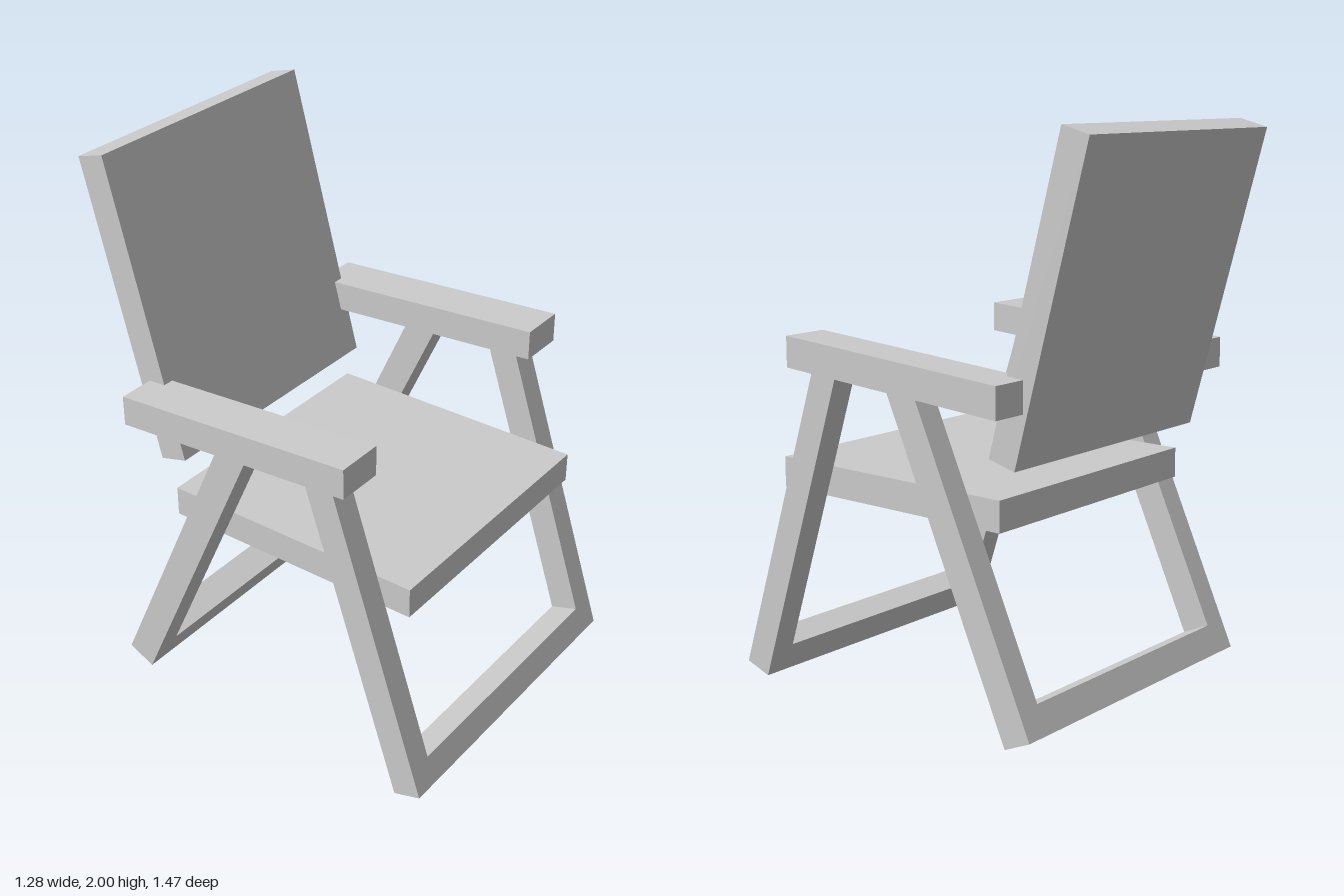
import * as THREE from 'three';

const material = new THREE.MeshStandardMaterial({ color: 0xcccccc, flatShading: true });

function addPart(group, name, geometry, x, y, z, tilt = 0) {
  const mesh = new THREE.Mesh(geometry, material);
  mesh.name = name;
  mesh.position.set(x, y, z);
  mesh.rotation.x = THREE.MathUtils.degToRad(tilt);
  group.add(mesh);
}

// U-shaped frame: two legs joined by a bar at the floor, origin at the bar's bottom centre
function legFrame(length, depth) {
  const outer = 0.6, inner = 0.505, bar = 0.106;
  const shape = new THREE.Shape([
    [-outer, 0], [outer, 0], [outer, length], [inner, length],
    [inner, bar], [-inner, bar], [-inner, length], [-outer, length],
  ].map(([x, y]) => new THREE.Vector2(x, y)));
  return new THREE.ExtrudeGeometry(shape, { depth, bevelEnabled: false }).translate(0, 0, -depth / 2);
}

// Armrest: a bar sloping down to the back while its ends stay vertical
function armrest() {
  const geometry = new THREE.BoxGeometry(0.175, 0.11, 0.93);
  const p = geometry.attributes.position;
  for (let i = 0; i < p.count; i++) p.setY(i, p.getY(i) + 0.07 * p.getZ(i));
  geometry.computeVertexNormals();
  return geometry;
}

export function createModel() {
  const chair = new THREE.Group();
  chair.name = 'foldingArmchair';

  addPart(chair, 'seat', new THREE.BoxGeometry(1.01, 0.11, 1.0), 0, 0.75, 0.113);
  addPart(chair, 'backrest', new THREE.BoxGeometry(1.01, 1.104, 0.11), 0, 1.455, -0.538, -15);

  // Crossing leg frames
  addPart(chair, 'frontLegFrame', legFrame(1.229, 0.108), 0, 0.0175, 0.6835, -18.2);
  addPart(chair, 'rearLegFrame', legFrame(1.235, 0.112), 0, 0.035, -0.5375, 24.4);

  // Armrests, mirrored left and right
  for (const side of [1, -1]) {
    addPart(chair, side > 0 ? 'leftArmrest' : 'rightArmrest', armrest(), side * 0.5525, 1.1875, -0.0185);
  }
  return chair;
}
